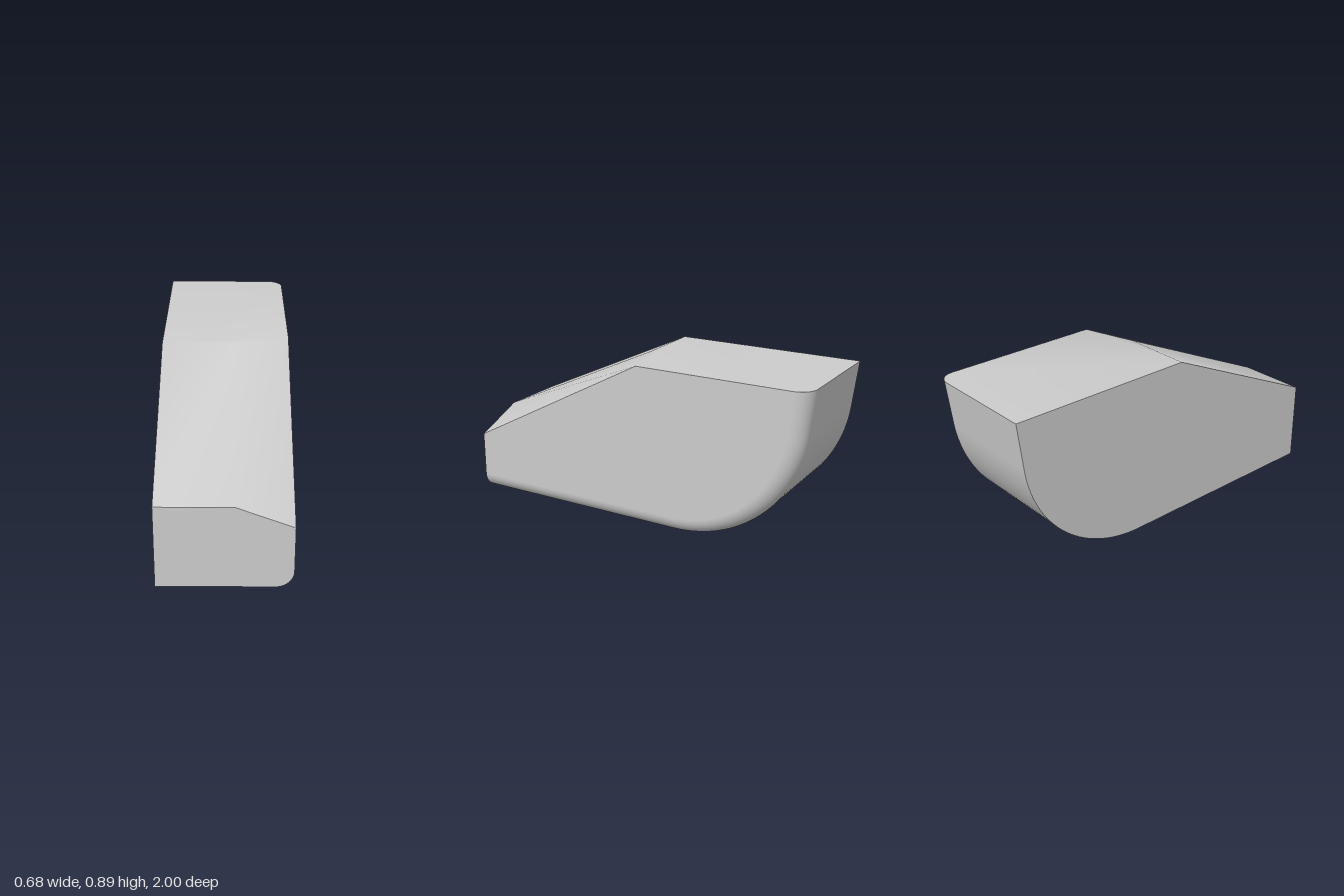
import * as THREE from 'three';

const W = 0.338, H = 0.89, FILLET = 0.09;
const R = 0.723, BEND = -0.25, SWEEP = THREE.MathUtils.degToRad(83);

// Point of the bottom-and-back path, moved inwards by d: [z, y, normal z, normal y]
function pathPoints(d) {
  const pts = [[1, d, 0, -1]];
  const n = 32;
  for (let i = 0; i <= n; i++) {
    const t = (SWEEP * i) / n, nz = -Math.sin(t), ny = -Math.cos(t);
    pts.push([BEND + (R - d) * nz, R + (R - d) * ny, nz, ny]);
  }
  // straight run up to the flat top
  const [z, y, nz, ny] = pts[pts.length - 1];
  pts.push([z - (H - y) / Math.tan(SWEEP), H, nz, ny]);
  return pts;
}

function makeGeometry(points, index, normals) {
  const g = new THREE.BufferGeometry();
  g.setAttribute('position', new THREE.Float32BufferAttribute(points.flat(), 3));
  g.setIndex(index);
  if (normals) g.setAttribute('normal', new THREE.Float32BufferAttribute(normals.flat(), 3));
  else g.computeVertexNormals();
  return g;
}

// Triangle fan over a convex outline, counter-clockwise from outside
function fan(count) {
  const index = [];
  for (let i = 1; i < count - 1; i++) index.push(0, i, i + 1);
  return index;
}

export function createModel() {
  const group = new THREE.Group();
  group.name = 'wedgeBlock';
  const grey = new THREE.MeshStandardMaterial({ color: 0xcccccc });
  grey.name = 'light grey';
  const add = (name, geometry) => {
    const mesh = new THREE.Mesh(geometry, grey);
    mesh.name = name;
    group.add(mesh);
  };

  // Cross-section columns: flat strip, then the rounded edge
  const columns = [{ x: -W, d: 0, a: 0 }];
  const steps = 12;
  for (let j = 0; j <= steps; j++) {
    const a = (j / steps) * Math.PI / 2;
    columns.push({ x: W - FILLET + FILLET * Math.sin(a), d: FILLET * (1 - Math.cos(a)), a });
  }
  const paths = columns.map((c) => pathPoints(c.d));
  const rows = paths[0].length, cols = columns.length;

  // Curved underside and back
  const pos = [], nor = [], idx = [];
  for (let i = 0; i < rows; i++) {
    columns.forEach((c, j) => {
      const [z, y, nz, ny] = paths[j][i];
      pos.push([c.x, y, z]);
      nor.push([Math.sin(c.a), ny * Math.cos(c.a), nz * Math.cos(c.a)]);
      if (i < rows - 1 && j < cols - 1) {
        const p = i * cols + j, q = p + cols;
        idx.push(p, q, q + 1, p, q + 1, p + 1);
      }
    });
  }
  add('undersideAndBack', makeGeometry(pos, idx, nor));

  // Corners of the top, slope and side bevel
  const A = [-W, H, 0.045], B = [0.05, H, 0.045], C = [W, H, -0.04];
  const D = [-W, 0.447, 1], E = [0.05, 0.447, 1], F = [W, 0.336, 1];

  // Flat top, front slope and bevel share smooth normals
  const rim = pos.slice(-cols).reverse();
  const top = [A, B, C, ...rim];
  const topIndex = fan(top.length);
  const d = top.length, e = d + 1, f = d + 2;
  topIndex.push(d, e, 1, d, 1, 0, e, f, 2, e, 2, 1);
  add('topAndSlope', makeGeometry([...top, D, E, F], topIndex));

  // Front face
  const front = [...pos.slice(0, cols), F, E, D];
  add('frontFace', makeGeometry(front, fan(front.length)));

  // Flat sides
  const left = paths[cols - 1].map(([z, y]) => [W, y, z]);
  left.push(C, F);
  add('leftSide', makeGeometry(left, fan(left.length)));

  const right = paths[0].map(([z, y]) => [-W, y, z]);
  right.push(A, D);
  right.reverse();
  add('rightSide', makeGeometry(right, fan(right.length)));

  return group;
}
